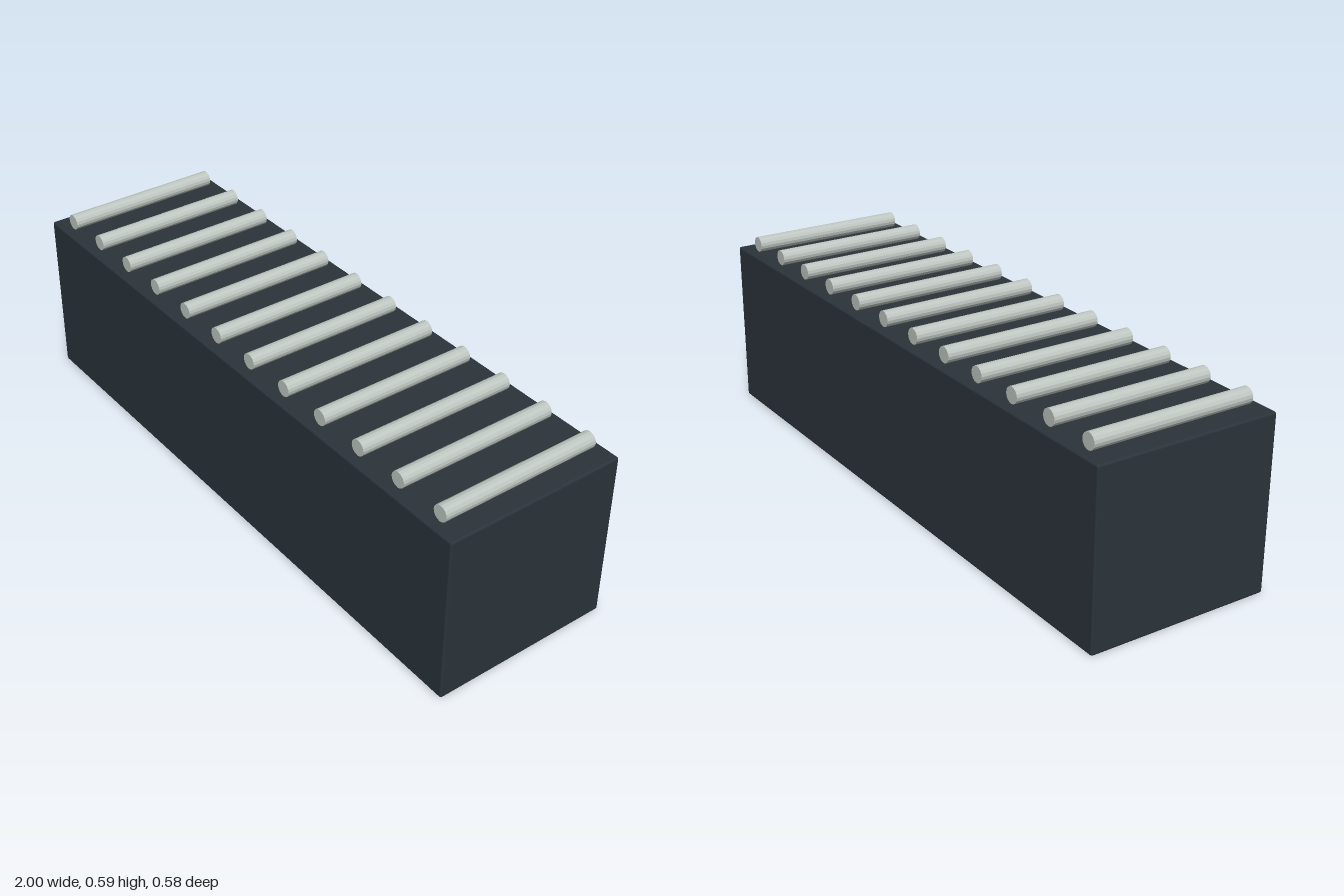
import * as THREE from 'three';
import { RoundedBoxGeometry } from 'three/addons/geometries/RoundedBoxGeometry.js';

export function createModel() {
  const model = new THREE.Group();
  model.name = 'rollerConveyor';

  const bodyHeight = 0.542, bodyDepth = 0.583;
  const rollerCount = 12, rollerSpacing = 1 / 6, rollerRadius = 0.025, rollerLength = 0.517;

  // Solid base block with slightly softened edges
  const body = new THREE.Mesh(
    new RoundedBoxGeometry(2, bodyHeight, bodyDepth, 2, 0.007),
    new THREE.MeshStandardMaterial({ color: 0x2b343b })
  );
  body.name = 'body';
  body.position.y = bodyHeight / 2;
  model.add(body);

  // Row of faceted rollers resting on the top, running front to back
  const rollers = new THREE.Group();
  rollers.name = 'rollers';
  const rollerGeometry = new THREE.CylinderGeometry(rollerRadius, rollerRadius, rollerLength, 16).rotateX(Math.PI / 2);
  const rollerMaterial = new THREE.MeshStandardMaterial({ color: 0xbfc7c2, flatShading: true });
  for (let i = 0; i < rollerCount; i++) {
    const roller = new THREE.Mesh(rollerGeometry, rollerMaterial);
    roller.name = `roller${i + 1}`;
    roller.position.set((i - (rollerCount - 1) / 2) * rollerSpacing, bodyHeight + rollerRadius, 0);
    rollers.add(roller);
  }
  model.add(rollers);

  return model;
}
